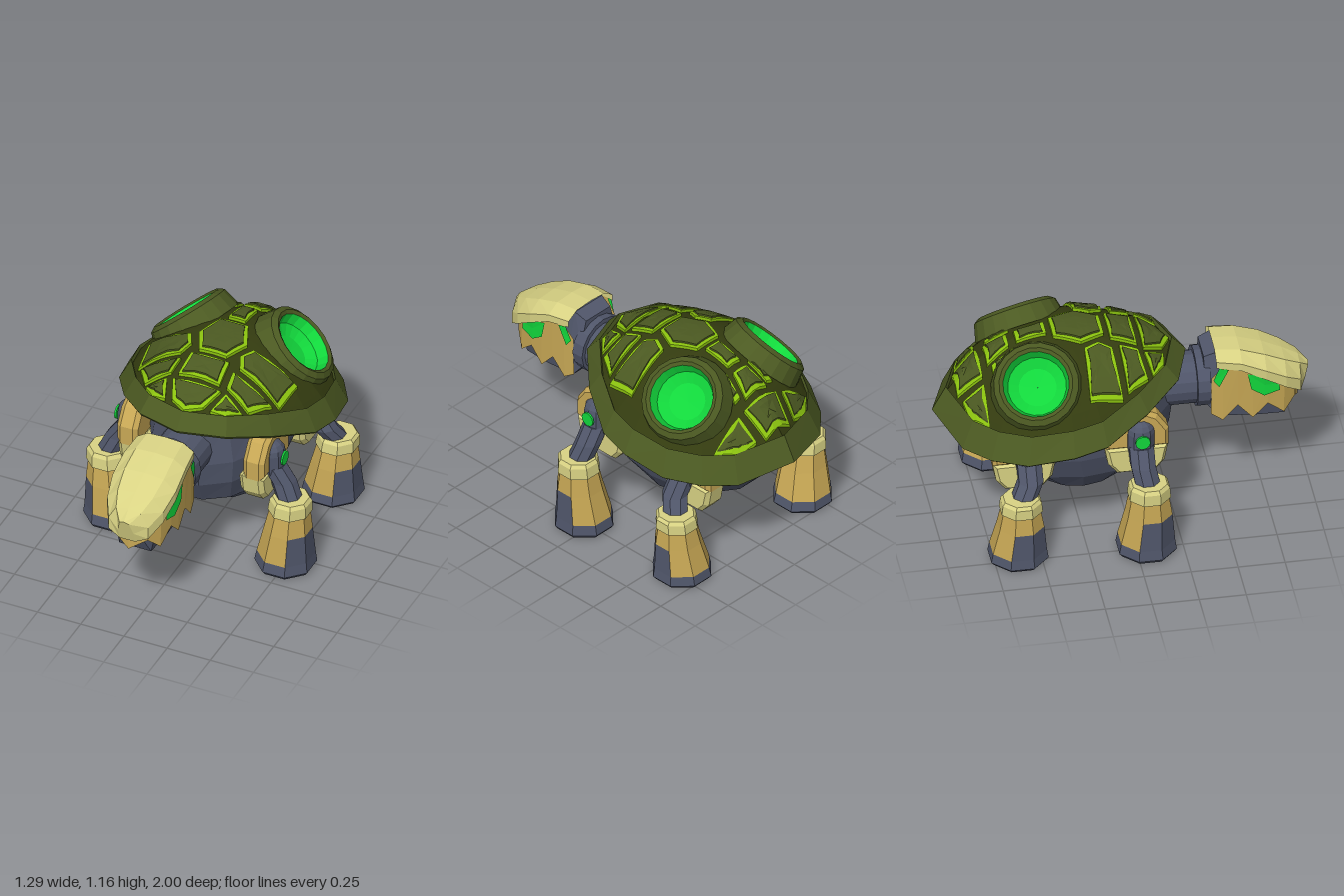
import * as THREE from 'three';

const mat = (name, color, side = THREE.FrontSide) => {
  const m = new THREE.MeshStandardMaterial({ color, side });
  m.name = name;
  return m;
};

// Faceted surface through a list of rings; keep() may drop cells
function loft(rings, { closed = true, start = false, end = false, keep = () => true } = {}) {
  const pos = [], n = rings[0].length;
  const tri = (...p) => p.forEach(q => pos.push(...q));
  for (let i = 0; i < rings.length - 1; i++)
    for (let j = 0; j < (closed ? n : n - 1); j++) {
      const k = (j + 1) % n;
      const a = rings[i][j], b = rings[i][k], c = rings[i + 1][k], d = rings[i + 1][j];
      if (keep(i, j, [0, 1, 2].map(q => (a[q] + b[q] + c[q] + d[q]) / 4))) { tri(a, b, c); tri(a, c, d); }
    }
  const cap = (r, flip) => {
    const c = [0, 1, 2].map(q => r.reduce((s, p) => s + p[q], 0) / n);
    r.forEach((p, j) => flip ? tri(c, r[(j + 1) % n], p) : tri(c, p, r[(j + 1) % n]));
  };
  if (start) cap(rings[0], true);
  if (end) cap(rings[rings.length - 1], false);
  const g = new THREE.BufferGeometry();
  g.setAttribute('position', new THREE.Float32BufferAttribute(pos, 3));
  g.computeVertexNormals();
  return g;
}

// Mirror a geometry across x = 0
function mirrored(geo) {
  const g = geo.index ? geo.toNonIndexed() : geo.clone();
  const a = g.attributes.position.array;
  for (let i = 0; i < a.length; i += 9)
    for (let q = 0; q < 3; q++) [a[i + 3 + q], a[i + 6 + q]] = [a[i + 6 + q], a[i + 3 + q]];
  for (let i = 0; i < a.length; i += 3) a[i] *= -1;
  g.computeVertexNormals();
  return g;
}

const polyRing = (cx, y, cz, rx, rz = rx, n = 8, turn = Math.PI / 8) =>
  Array.from({ length: n }, (_, i) => {
    const a = turn + i / n * Math.PI * 2;
    return [cx + Math.cos(a) * rx, y, cz - Math.sin(a) * rz];
  });

// Shell rim, front to back: x, z, y
const RIM = [[0, .35, .9], [.25, .27, .885], [.43, .08, .82], [.57, -.16, .73], [.6, -.34, .7],
  [.56, -.58, .65], [.45, -.76, .63], [.31, -.89, .625], [0, -1, .67]];
const MID = -.33, TOP = 1.115;

function rimAt(angle) {
  let a = Math.abs(Math.atan2(Math.sin(angle), Math.cos(angle)));
  a = Math.min(Math.max(a, 1e-5), Math.PI - 1e-5);
  const dx = Math.sin(a), dz = Math.cos(a);
  let i = 0;
  while (i < RIM.length - 2 && Math.atan2(RIM[i + 1][0], RIM[i + 1][1] - MID) < a) i++;
  const [px, pz, py] = RIM[i], [qx, qz, qy] = RIM[i + 1];
  const t = -(dx * (pz - MID) - dz * px) / (dx * (qz - pz) - dz * (qx - px));
  return { r: Math.hypot(px + t * (qx - px), pz + t * (qz - pz) - MID), y: py + t * (qy - py) };
}
const domeY = (s, rimY) => TOP + (rimY - TOP) * Math.pow(s, 2.4);
function shellPoint(a, s, off = 0) {
  const { r, y } = rimAt(a);
  return [Math.sin(a) * r * s, domeY(s, y) + off, MID + Math.cos(a) * r * s];
}
function onShell(x, z, off) {
  const { r, y } = rimAt(Math.atan2(x, z - MID));
  return [x, domeY(Math.hypot(x, z - MID) / r, y) + off, z];
}

// Centre and left-hand scutes as x, z outlines
const CENTRE = [
  [[.09, -.88], [.12, -.75], [-.12, -.75], [-.09, -.88]],
  [[.08, -.72], [.05, -.6], [-.05, -.6], [-.08, -.72]],
  [[.045, -.56], [.05, -.4], [-.05, -.4], [-.045, -.56]],
  [[.08, -.37], [.14, -.23], [.08, -.1], [-.08, -.1], [-.14, -.23], [-.08, -.37]],
  [[.11, -.07], [.12, .07], [-.12, .07], [-.11, -.07]],
  [[.14, .1], [.09, .21], [0, .26], [-.09, .21], [-.14, .1]]];
const SIDE = [
  [[.18, -.22], [.43, -.23], [.41, -.05], [.17, -.07], [.14, -.14]],
  [[.15, -.03], [.38, -.02], [.3, .1], [.16, .07]],
  [[.17, .1], [.28, .13], [.21, .2], [.13, .21]],
  [[.14, -.86], [.25, -.84], [.35, -.75], [.16, -.75]],
  [[.1, -.7], [.14, -.7], [.12, -.6], [.08, -.58]]];

function scute(outline, inset, height) {
  const n = outline.length;
  const cx = outline.reduce((s, p) => s + p[0], 0) / n, cz = outline.reduce((s, p) => s + p[1], 0) / n;
  const area = outline.reduce((s, p, i) => {
    const q = outline[(i + 1) % n];
    return s + p[0] * q[1] - q[0] * p[1];
  }, 0);
  const pts = [];
  (area > 0 ? [...outline].reverse() : outline).forEach((p, i, o) => {
    const q = o[(i + 1) % n];
    for (const t of [0, .33, .67]) pts.push([p[0] + t * (q[0] - p[0]), p[1] + t * (q[1] - p[1])]);
  });
  const ring = (k, off) => pts.map(([x, z]) => {
    const f = Math.max(.1, 1 - inset / Math.hypot(x - cx, z - cz)) * k;
    return onShell(cx + (x - cx) * f, cz + (z - cz) * f, off);
  });
  return loft([ring(1, -.02), ring(1, height), ring(.5, height)], { end: true });
}

export function createModel() {
  const root = new THREE.Group();
  root.name = 'armouredTurtle';
  const slate = mat('slate skin', 0x50566a), olive = mat('olive plate', 0x4c5a22);
  const dark = mat('dark olive shell', 0x343c10), lime = mat('lime edging', 0x8cc40f);
  const green = mat('bright green', 0x12d83c, THREE.DoubleSide);
  const tan = mat('tan armour', 0xc8a855, THREE.DoubleSide);
  const cream = mat('cream armour', 0xd9d384, THREE.DoubleSide);

  const add = (name, geo, material) => {
    const g = geo.index ? geo.toNonIndexed() : geo;
    g.clearGroups();
    g.computeVertexNormals();
    const m = new THREE.Mesh(g, material);
    m.name = name;
    root.add(m);
  };
  const pair = (name, geo, material) => {
    add(name + 'Left', geo, material);
    add(name + 'Right', mirrored(geo), material);
  };

  // Shell dome with openings for the two craters
  const cratC = new THREE.Vector3(.325, 1.0, -.5), cratN = new THREE.Vector3(.66, .72, -.2).normalize();
  const keep = (i, j, c) => {
    const v = new THREE.Vector3(Math.abs(c[0]), c[1], c[2]).sub(cratC);
    return v.addScaledVector(cratN, -v.dot(cratN)).length() > .2;
  };
  const half = RIM.map(p => Math.atan2(p[0], p[1] - MID));
  const corners = [...half, ...half.slice(1, -1).reverse().map(a => 2 * Math.PI - a)];
  const fine = corners.flatMap((a, i) => {
    const b = i + 1 < corners.length ? corners[i + 1] : 2 * Math.PI;
    return [0, 1, 2, 3].map(k => a + (b - a) * k / 4);
  });
  const rows = Array.from({ length: 17 }, (_, i) => .96 * (1 - i / 16));
  add('shellDome', loft(rows.map(s => fine.map(a => shellPoint(a, s))), { keep }), dark);
  add('shellLining', loft([...rows].reverse().map(s => fine.map(a => shellPoint(a, s, -.045))), { keep }), green);
  const skirt = [[.95, -.045], [.985, -.025], [1, 0], [.89, .03], [.87, -.02]];
  add('shellRim', loft(skirt.map(([s, o]) => corners.map(a => shellPoint(a, s, o)))), olive);

  // Raised scutes with lime borders
  CENTRE.forEach((o, i) => {
    add('scuteBorder' + i, scute(o, 0, .018), lime);
    add('scute' + i, scute(o, .022, .028), olive);
  });
  SIDE.forEach((o, i) => {
    pair('sideScuteBorder' + i, scute(o, 0, .018), lime);
    pair('sideScute' + i, scute(o, .022, .028), olive);
  });

  // Craters
  const lathe = pts => new THREE.LatheGeometry(pts.map(p => new THREE.Vector2(...p)), 20)
    .applyQuaternion(new THREE.Quaternion().setFromUnitVectors(new THREE.Vector3(0, 1, 0), cratN))
    .translate(cratC.x, cratC.y, cratC.z);
  pair('craterRing', lathe([[.25, -.09], [.225, .01], [.195, .03], [.175, .02]]), olive);
  pair('craterBowl', lathe([[.175, .02], [.155, -.04], [.1, -.075], [.001, -.085]]), green);

  // Body: y, half width, front z, back z
  const body = [[.22, .12, -.06, -.4], [.245, .23, .0, -.47], [.36, .31, .19, -.68], [.5, .36, .26, -.81],
    [.64, .38, .28, -.88], [.86, .33, .26, -.8]];
  add('body', loft(body.map(([y, rx, f, b]) => polyRing(0, y, (f + b) / 2, rx, (f - b) / 2, 14, 0)),
    { start: true, end: true }), slate);

  // Neck
  const tube = (r, len, z, y) => new THREE.CylinderGeometry(r, r, len, 16).rotateX(Math.PI / 2).translate(0, y, z);
  add('neck', tube(.142, .2, .31, .715), slate);
  add('neckCollar', tube(.163, .07, .425, .72), slate);

  // Head: z, bottom, top, half width
  const head = [[.43, .62, .9, .13], [.5, .53, .93, .145], [.7, .51, .86, .145], [.86, .49, .72, .115], [.9, .58, .68, .08]];
  add('headAndJaw', loft(head.map(([z, b, t, w]) => {
    const m = (b + t) / 2;
    return [[w * .8, b, z], [w, m, z], [w * .7, t, z], [-w * .7, t, z], [-w, m, z], [-w * .8, b, z]];
  }), { start: true, end: true }), slate);

  // Helmet: z, top, half width, lower edge
  const helmet = [[.485, .955, .165, .87], [.62, .943, .178, .845], [.75, .9, .183, .775], [.86, .845, .162, .7],
    [.945, .795, .115, .635], [1, .745, .045, .605]];
  const arch = [[1, 0], [1, .45], [.62, .93], [0, 1], [-.62, .93], [-1, .45], [-1, 0]];
  add('helmet', loft(helmet.map(([z, t, w, l], i) => arch.map(([x, f]) =>
    [x * w, l + (t - l) * f, z - (i === 5 ? .04 * (1 - f) : 0)])), { closed: false, end: true }), cream);

  // Jagged cheek guard wrapping the face: x, z, top, bottom
  const cheek = [[.155, .46, .8, .57], [.165, .52, .87, .53], [.17, .6, .85, .62], [.17, .68, .83, .53],
    [.165, .76, .77, .61], [.145, .85, .71, .53], [.1, .915, .66, .6], [0, .945, .64, .535]];
  const wrap = [...cheek, ...cheek.slice(0, -1).reverse().map(([x, ...r]) => [-x, ...r])];
  add('cheekGuard', loft([wrap.map(([x, z, t]) => [x, t, z]), wrap.map(([x, z, , b]) => [x * .98, b, z])],
    { closed: false }), tan);

  // Eyes and temple patches, as thin faces: x, y, z
  const face = pts => loft([pts], { end: true });
  pair('eye', face([[.164, .73, .82], [.164, .69, .825], [.174, .67, .74], [.177, .72, .67], [.176, .82, .65],
    [.177, .79, .74]]), green);
  pair('templePatch', face([[.163, .79, .47], [.172, .87, .5], [.176, .86, .55], [.17, .75, .5]]), green);

  // Limbs: the rear pair sits lower and further in
  for (const [name, dx, dy, dz, footZ, h] of [['front', 0, 0, .02, .055, 1], ['rear', -.04, -.06, -.57, -.62, .9]]) {
    const plate = (pts, x, depth) => new THREE.ExtrudeGeometry(
      new THREE.Shape(pts.map(p => new THREE.Vector2(...p))),
      { depth, bevelThickness: .025, bevelSize: .02, bevelOffset: -.02, bevelSegments: 1 })
      .rotateY(Math.PI / 2).translate(x + dx, dy, dz);
    pair(name + 'ShoulderGuard', plate([[-.17, .59], [.17, .59], [.17, .7], [.11, .79], [.04, .825], [-.04, .825],
      [-.11, .79], [-.17, .7]], .33, .07), tan);
    pair(name + 'HipGuard', plate([[-.17, .6], [-.15, .49], [-.1, .43], [.1, .43], [.15, .49], [.17, .6]], .305, .09), cream);

    const j = dz + .02;
    pair(name + 'Shoulder', new THREE.CapsuleGeometry(.075, .09, 4, 10).translate(.405 + dx, .65 + dy, j), slate);
    pair(name + 'JointLight', new THREE.CylinderGeometry(.04, .04, .01, 12).rotateZ(Math.PI / 2)
      .translate(.482 + dx, .67 + dy, j), green);
    pair(name + 'Arm', loft([polyRing(.535 + dx, .4 * h, footZ + .01, .07), polyRing(.475 + dx, .53 + dy, j, .07),
      polyRing(.415 + dx, .62 + dy, j, .07)], { start: true, end: true }), slate);

    // Flared boot with a slate sole and outer panel
    const ring = (y, r, x) => polyRing(x + dx, y * h, footZ + (y > .1 ? .01 : 0), r);
    pair(name + 'Sole', loft([ring(.03, .08, .495), ring(0, .09, .495), ring(0, .15, .495), ring(.02, .165, .495),
      ring(.08, .155, .498)], { start: true }), slate);
    const boot = [ring(.08, .155, .498), ring(.25, .128, .515), ring(.38, .106, .525)];
    const panel = (i, k) => i === 0 && (k === 7 || k === 6);
    pair(name + 'Boot', loft(boot, { keep: (i, k) => !panel(i, k) }), tan);
    pair(name + 'BootPanel', loft(boot, { keep: panel }), slate);
    pair(name + 'Cuff', loft([ring(.36, .1, .525), ring(.365, .118, .525), ring(.43, .112, .53), ring(.45, .098, .53)],
      { start: true, end: true }), cream);
  }
  return root;
}
